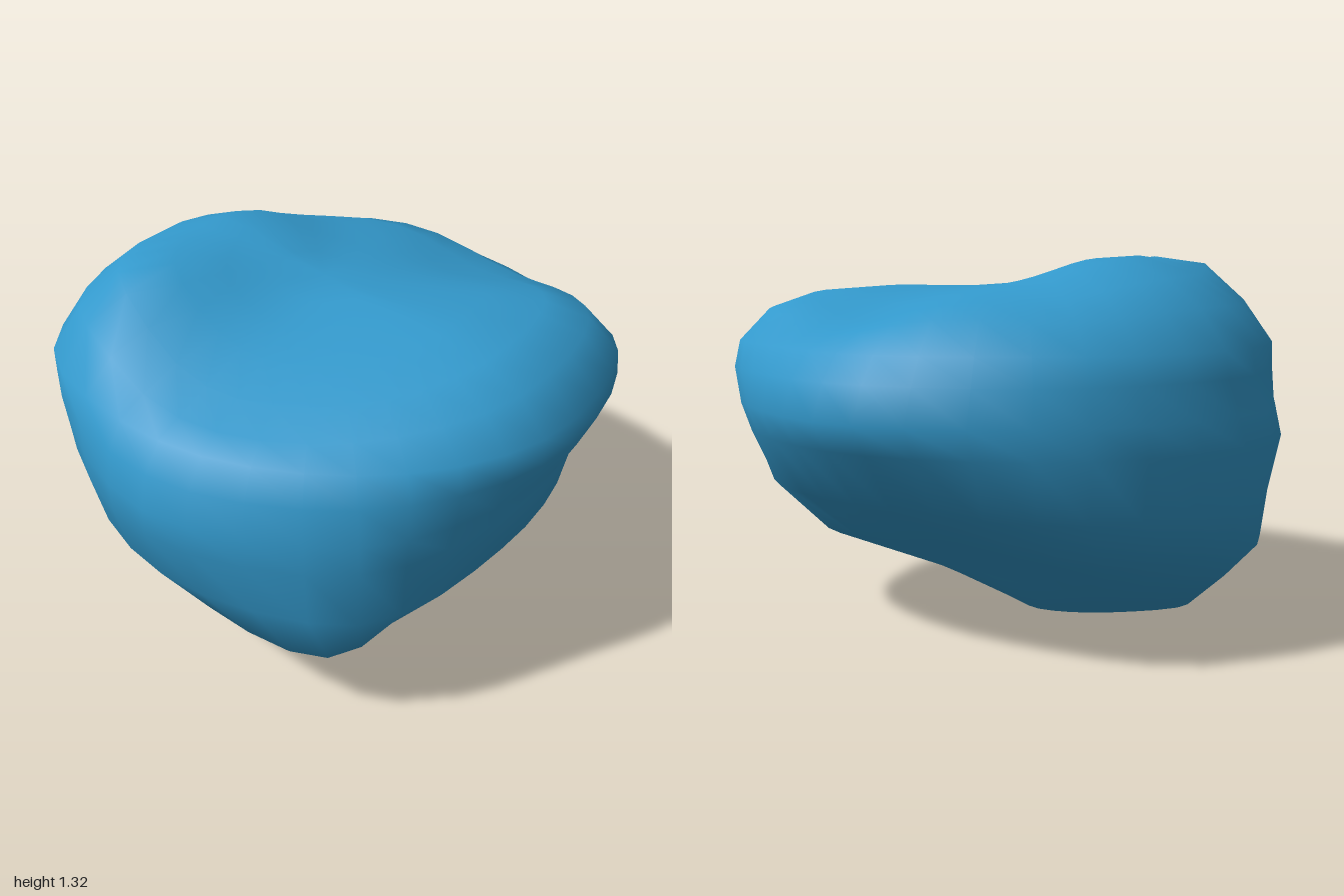
import * as THREE from 'three';
import { mergeVertices } from 'three/addons/utils/BufferGeometryUtils.js';

const SIDES = 36;

// Directions of the section corners, in degrees from +x towards +z
const DIRECTIONS = [10, 48, 90, 135, 180, 225, 270, 308, 333];

// Side sections from the ground up: height, centre x, centre z, corner radii
const SECTIONS = [
  [0.00, -0.20, 0.13, 0, 0, 0, 0, 0, 0, 0, 0, 0],
  [0.04, -0.20, 0.15, 0.28, 0.42, 0.27, 0.24, 0.45, 0.34, 0.33, 0.28, 0.27],
  [0.18, -0.12, 0.12, 0.54, 0.72, 0.48, 0.43, 0.68, 0.58, 0.46, 0.50, 0.54],
  [0.32, -0.05, 0.08, 0.72, 0.93, 0.72, 0.74, 0.88, 0.80, 0.60, 0.78, 0.82],
  [0.50, 0, 0, 0.87, 1.00, 0.93, 0.90, 0.96, 0.92, 0.79, 0.87, 0.91],
  [0.70, 0, 0, 0.91, 0.99, 0.98, 0.94, 1.00, 0.93, 0.92, 0.97, 0.95],
  [0.80, 0, 0, 0.95, 0.98, 0.98, 0.95, 0.97, 0.92, 0.98, 1.00, 1.00],
  [0.92, 0, 0, 0.99, 0.95, 0.95, 0.97, 0.93, 0.90, 0.93, 0.98, 1.05],
  [1.01, 0, 0, 0.98, 0.90, 0.88, 0.97, 0.92, 0.86, 0.87, 0.92, 1.04],
];

// Crown rings: scale of the last section, share of the crown height reached
const CROWN = [[0.89, 0.62], [0.74, 0.92], [0.54, 1], [0.36, 1], [0.18, 1], [0, 1]];

const bump = (x, z, cx, cz, r) => Math.exp(-((x - cx) ** 2 + (z - cz) ** 2) / (r * r));

// Uneven top: two humps and a ledge on one side, slopes to the front and back
function crownHeight(x, z) {
  return 1.21 - 0.22 * Math.max(0, z) ** 1.2
    + 0.19 * bump(x, z, -0.5, 0.46, 0.36)
    + 0.1 * bump(x, z, -0.45, 0.8, 0.22)
    + 0.09 * bump(x, z, -0.42, -0.1, 0.27)
    - 0.05 * bump(x, z, -0.55, -0.6, 0.3)
    - 0.12 * bump(x, z, 0.28, -0.7, 0.34);
}

// Ring of points on a smooth closed curve through the section corners
function sectionRing([y, cx, cz, ...radii]) {
  const corners = radii.map((r, i) => {
    const angle = THREE.MathUtils.degToRad(DIRECTIONS[i]);
    return new THREE.Vector3(cx + r * Math.cos(angle), y, cz + r * Math.sin(angle));
  });
  const curve = new THREE.CatmullRomCurve3(corners, true, 'catmullrom');
  return Array.from({ length: SIDES }, (_, j) => curve.getPoint(j / SIDES));
}

function boulderGeometry() {
  const rings = SECTIONS.map(sectionRing);
  const rim = rings[rings.length - 1];
  for (const [scale, rise] of CROWN) {
    rings.push(rim.map(({ x, y, z }) => {
      const px = x * scale, pz = z * scale;
      return new THREE.Vector3(px, y + (crownHeight(px, pz) - y) * rise, pz);
    }));
  }

  // Join neighbouring rings; the first and last close to a point
  const index = [];
  const last = rings.length - 2;
  for (let i = 0; i <= last; i++) {
    for (let j = 0; j < SIDES; j++) {
      const a = i * SIDES + j, b = i * SIDES + (j + 1) % SIDES;
      const c = a + SIDES, d = b + SIDES;
      if (i < last) index.push(a, c, d);
      else index.push(a, c, b);
      if (i > 0 && i < last) index.push(a, d, b);
    }
  }

  const geometry = new THREE.BufferGeometry().setFromPoints(rings.flat());
  geometry.setIndex(index);
  const merged = mergeVertices(geometry, 1e-5);
  merged.computeVertexNormals();
  return merged;
}

export function createModel() {
  const group = new THREE.Group();
  group.name = 'boulder';
  const stone = new THREE.Mesh(
    boulderGeometry(),
    new THREE.MeshStandardMaterial({ color: 0x3399cc }),
  );
  stone.name = 'stone';
  group.add(stone);
  return group;
}
